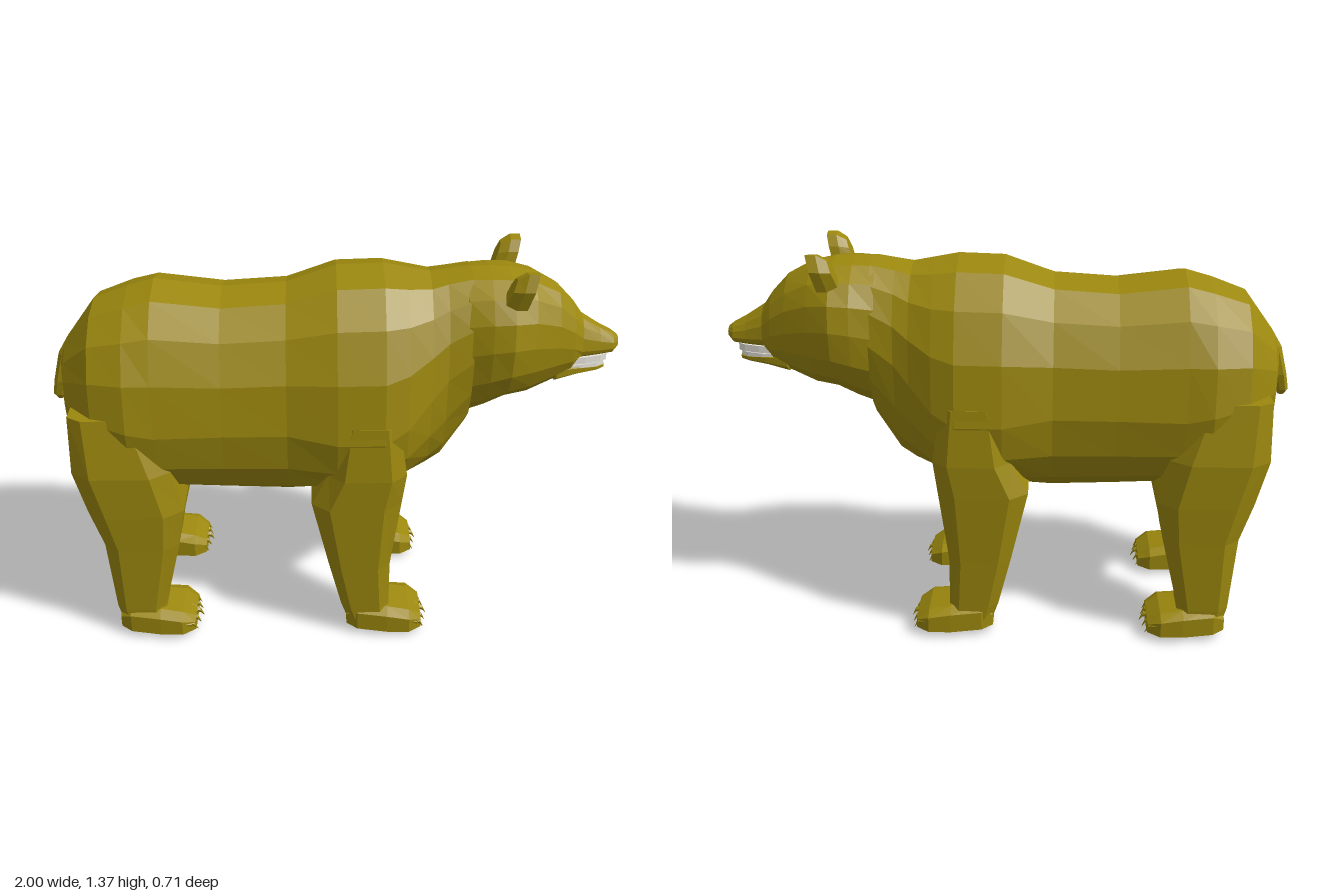
import * as THREE from 'three';

const fur = new THREE.MeshStandardMaterial({ color: 0x9c880e, flatShading: true });
const ivory = new THREE.MeshStandardMaterial({ color: 0xe8e6dc, flatShading: true });

// Closed skin over rings of [x, y, z] points, wound so that faces point outwards
function loft(name, rings, material = fur) {
  const n = rings[0].length, tris = [];
  for (let i = 0; i < rings.length - 1; i++) {
    for (let j = 0; j < n; j++) {
      const k = (j + 1) % n;
      const a = rings[i][j], b = rings[i][k], c = rings[i + 1][k], d = rings[i + 1][j];
      tris.push([a, b, c], [a, c, d]);
    }
  }
  const cap = (ring, flip) => {
    const mid = [0, 1, 2].map(q => ring.reduce((s, p) => s + p[q], 0) / n);
    for (let j = 0; j < n; j++) {
      const a = ring[j], b = ring[(j + 1) % n];
      tris.push(flip ? [mid, b, a] : [mid, a, b]);
    }
  };
  cap(rings[0], true);
  cap(rings[rings.length - 1], false);
  const v = p => new THREE.Vector3(...p);
  const volume = tris.reduce((s, [a, b, c]) => s + v(a).dot(v(b).cross(v(c))), 0);
  if (volume < 0) tris.forEach(t => t.reverse());
  const geo = new THREE.BufferGeometry();
  geo.setAttribute('position', new THREE.Float32BufferAttribute(tris.flat(2), 3));
  geo.computeVertexNormals();
  const mesh = new THREE.Mesh(geo, material);
  mesh.name = name;
  return mesh;
}

// Egg-shaped section across x: widest (w) at height ym, between bottom and top
function oval([x, top, bottom, w, ym], sides = 16, power = 0.92) {
  return Array.from({ length: sides }, (_, i) => {
    const a = (i / sides) * Math.PI * 2, c = Math.cos(a), s = Math.sin(a);
    const bend = t => Math.sign(t) * Math.abs(t) ** power;
    return [x, ym + bend(c) * (c > 0 ? top - ym : ym - bottom), bend(s) * w];
  });
}

// Rectangle with cut corners, as eight [u, v] points
function cutRect(u0, u1, v0, v1, cut) {
  const cu = (u1 - u0) * cut, cv = (v1 - v0) * cut;
  return [[u0 + cu, v0], [u1 - cu, v0], [u1, v0 + cv], [u1, v1 - cv],
    [u1 - cu, v1], [u0 + cu, v1], [u0, v1 - cv], [u0, v0 + cv]];
}

// Leg columns: y, x back, x front, z inner, z outer
const foreLeg = [
  [0.05, 0.05, 0.21, 0.16, 0.33], [0.12, 0.025, 0.20, 0.15, 0.332], [0.30, -0.02, 0.20, 0.125, 0.338],
  [0.56, -0.08, 0.235, 0.085, 0.348], [0.68, -0.02, 0.25, 0.10, 0.352], [0.88, 0.02, 0.22, 0.16, 0.34]];
const hindLeg = [
  [0.05, -0.785, -0.61, 0.16, 0.32], [0.12, -0.80, -0.62, 0.155, 0.325], [0.39, -0.82, -0.555, 0.115, 0.33],
  [0.53, -0.865, -0.53, 0.085, 0.335], [0.69, -0.905, -0.565, 0.09, 0.335], [0.90, -0.90, -0.65, 0.14, 0.30]];

function leg(name, column, heel, side) {
  const group = new THREE.Group();
  group.name = name;
  group.add(loft('legColumn', column.map(([y, x0, x1, z0, z1]) =>
    cutRect(x0, x1, z0, z1, 0.2).map(([x, z]) => [x, y, z * side]))));
  // Paw: distance from heel, bottom, top, z inner, z outer
  const paw = [[0, 0.025, 0.09, 0.18, 0.31], [0.04, 0.01, 0.12, 0.155, 0.335], [0.15, 0.005, 0.115, 0.14, 0.35],
    [0.23, 0.01, 0.10, 0.133, 0.354], [0.275, 0.02, 0.07, 0.16, 0.325]];
  group.add(loft('paw', paw.map(([d, y0, y1, z0, z1]) =>
    cutRect(y0, y1, z0, z1, 0.18).map(([y, z]) => [heel + d, y, z * side]))));
  // Five toes, each with a hooked claw
  for (let i = 0; i < 5; i++) {
    const z = (0.165 + i * 0.04) * side, x = heel + 0.255 - Math.abs(i - 2) * 0.008;
    const ring = (dx, y, r) => [0, 1, 2, 3, 4].map(k => {
      const a = (k / 5) * Math.PI * 2;
      return [x + dx, y + Math.cos(a) * r, z + Math.sin(a) * r];
    });
    group.add(loft('toe', [ring(-0.04, 0.065, 0.024), ring(0, 0.06, 0.024), ring(0.022, 0.055, 0.014)]));
    group.add(loft('claw', [ring(0.01, 0.062, 0.011), ring(0.032, 0.054, 0.009), ring(0.045, 0.03, 0.001)]));
  }
  return group;
}

function ear(side) {
  // Outline in [z, y], repeated as back, rim and hollow
  const outline = [[0.125, 1.27], [0.135, 1.325], [0.157, 1.362], [0.20, 1.37], [0.221, 1.315], [0.20, 1.245]];
  const slice = (x, size) => outline.map(([z, y]) => [
    x + (y - 1.25) * 0.25, 1.30 + (y - 1.30) * size, (0.172 + (z - 0.172) * size) * side]);
  return loft(side > 0 ? 'rightEar' : 'leftEar',
    [slice(0.565, 0.72), slice(0.60, 1), slice(0.635, 1), slice(0.61, 0.62)]);
}

export function createModel() {
  const bear = new THREE.Group();
  bear.name = 'bear';

  // Trunk, neck and head: x, top, bottom, half width, height of widest point
  const trunk = [
    [-0.95, 1.02, 0.86, 0.06, 0.94], [-0.925, 1.08, 0.70, 0.17, 0.90], [-0.82, 1.22, 0.58, 0.285, 0.88],
    [-0.70, 1.265, 0.54, 0.325, 0.86], [-0.61, 1.29, 0.525, 0.32, 0.84], [-0.38, 1.26, 0.51, 0.31, 0.84],
    [-0.16, 1.275, 0.50, 0.308, 0.84], [0.01, 1.335, 0.52, 0.345, 0.82], [0.17, 1.34, 0.55, 0.345, 0.82],
    [0.25, 1.325, 0.565, 0.31, 0.86], [0.33, 1.31, 0.59, 0.255, 0.94], [0.385, 1.318, 0.62, 0.225, 1.0],
    [0.47, 1.33, 0.76, 0.21, 1.06]];
  bear.add(loft('trunk', trunk.map(s => oval(s))));

  const head = [
    [0.40, 1.30, 0.78, 0.17, 1.06], [0.45, 1.325, 0.79, 0.205, 1.08], [0.53, 1.328, 0.825, 0.225, 1.10],
    [0.60, 1.325, 0.862, 0.23, 1.11], [0.68, 1.31, 0.872, 0.188, 1.10], [0.77, 1.262, 0.91, 0.14, 1.08],
    [0.83, 1.20, 0.94, 0.108, 1.06], [0.865, 1.152, 1.0, 0.085, 1.04], [0.93, 1.11, 1.004, 0.063, 1.035],
    [0.98, 1.083, 1.01, 0.05, 1.035], [1.0, 1.068, 1.03, 0.03, 1.045]];
  bear.add(loft('head', head.map(s => oval(s))));

  const jaw = [[0.78, 1.0, 0.912, 0.10, 0.96], [0.86, 0.985, 0.932, 0.08, 0.965],
    [0.93, 0.975, 0.942, 0.055, 0.962], [0.96, 0.972, 0.947, 0.03, 0.96]];
  bear.add(loft('lowerJaw', jaw.map(s => oval(s, 10))));

  // Upper and lower rows of teeth
  [['upperTeeth', 0.987, 1.012, 0.008], ['lowerTeeth', 0.968, 0.984, 0]].forEach(([name, y0, y1, dx]) => {
    const row = [[0.83, 0.078], [0.875, 0.07], [0.93, 0.052], [0.955, 0.034]];
    bear.add(loft(name, row.map(([x, w]) =>
      [[y0, -w], [y0, w], [y1, w], [y1, -w]].map(([y, z]) => [x + dx, y, z])), ivory));
  });

  // Tail: y, x back, x front, half width
  const tail = [[1.08, -0.925, -0.89, 0.025], [1.02, -0.962, -0.91, 0.035],
    [0.92, -0.988, -0.94, 0.04], [0.86, -1.0, -0.955, 0.03], [0.84, -0.988, -0.965, 0.015]];
  bear.add(loft('tail', tail.map(([y, x0, x1, w]) =>
    cutRect(x0, x1, -w, w, 0.28).map(([x, z]) => [x, y, z]))));

  // Ears and legs on both sides
  for (const side of [1, -1]) {
    const label = side > 0 ? 'Right' : 'Left';
    bear.add(ear(side));
    bear.add(leg('front' + label + 'Leg', foreLeg, 0.045, side));
    bear.add(leg('hind' + label + 'Leg', hindLeg, -0.79, side));
  }
  return bear;
}
